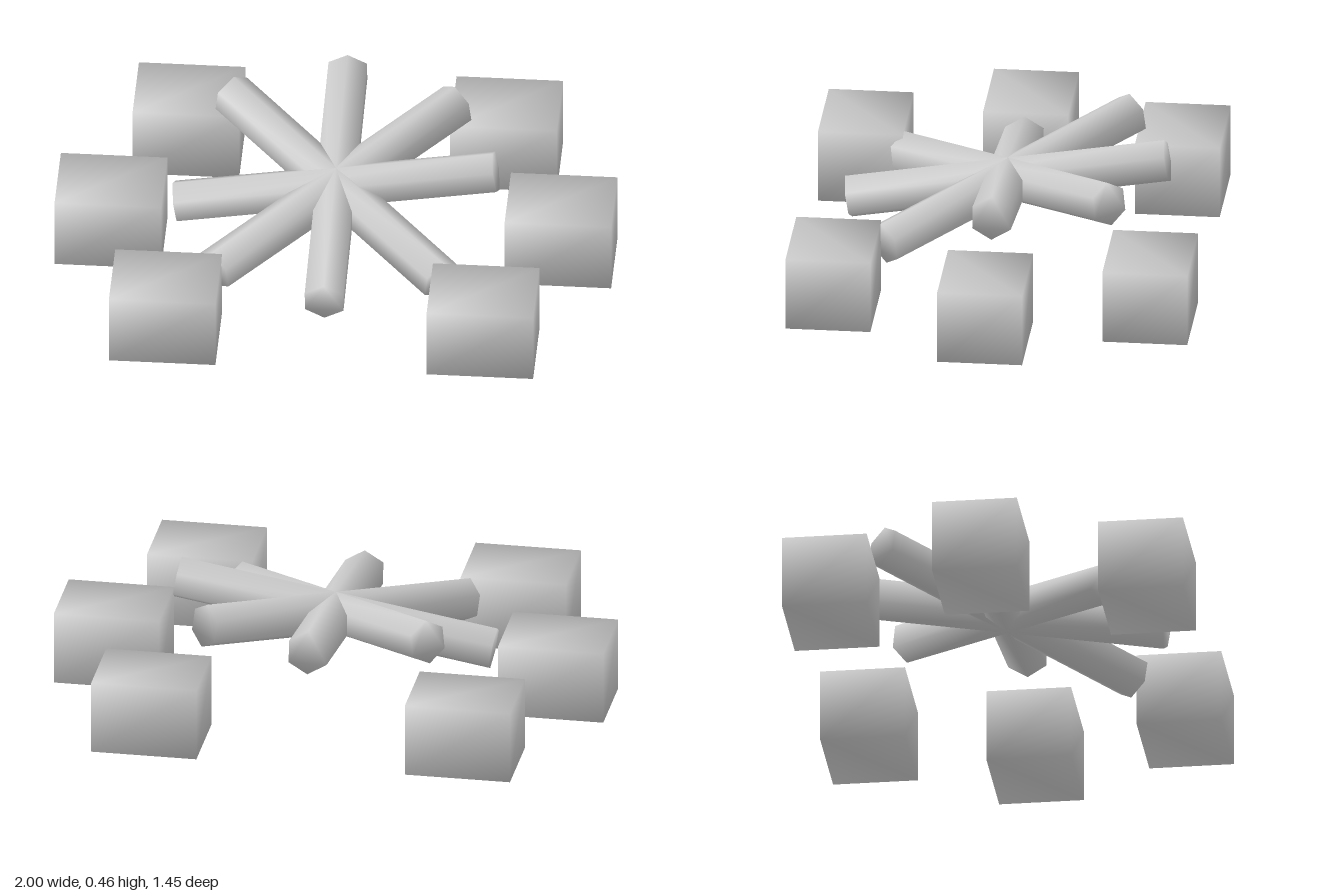
import * as THREE from 'three';
import { mergeVertices } from 'three/addons/utils/BufferGeometryUtils.js';

// Weld all corners so the shading runs smoothly over every edge
function weld(geometry) {
  geometry.deleteAttribute('normal');
  geometry.deleteAttribute('uv');
  const welded = mergeVertices(geometry, 1e-4);
  welded.computeVertexNormals();
  return welded;
}

export function createModel() {
  const group = new THREE.Group();
  const gray = new THREE.MeshStandardMaterial({ color: 0xcccccc });
  gray.name = 'light gray';

  // Ring of six stone blocks
  const stone = weld(new THREE.BoxGeometry(0.383, 0.27, 0.306));
  for (const side of [-1, 1]) {
    for (const [x, z] of [[0.571, -0.571], [0.809, 0], [0.571, 0.571]]) {
      const mesh = new THREE.Mesh(stone, gray);
      mesh.name = 'stone';
      mesh.position.set(side * x, 0.135, z);
      group.add(mesh);
    }
  }

  // Four tilted six-sided logs crossing in the middle, ridge upward
  const length = 1.165, radius = 0.08, tilt = 0.165;
  const hexagon = new THREE.Shape();
  for (let i = 0; i < 6; i++) {
    const a = Math.PI / 2 + i * Math.PI / 3;
    hexagon[i ? 'lineTo' : 'moveTo'](radius * Math.cos(a), radius * Math.sin(a));
  }
  hexagon.closePath();
  const log = weld(new THREE.ExtrudeGeometry(hexagon, { depth: length, bevelEnabled: false }));
  log.translate(0, 0, -length / 2);
  log.rotateX(tilt); // raises the back end

  for (const turn of [45, 0, -45, -90]) {
    const mesh = new THREE.Mesh(log, gray);
    mesh.name = 'log';
    mesh.position.y = 0.287;
    mesh.rotation.y = THREE.MathUtils.degToRad(turn);
    group.add(mesh);
  }
  return group;
}
